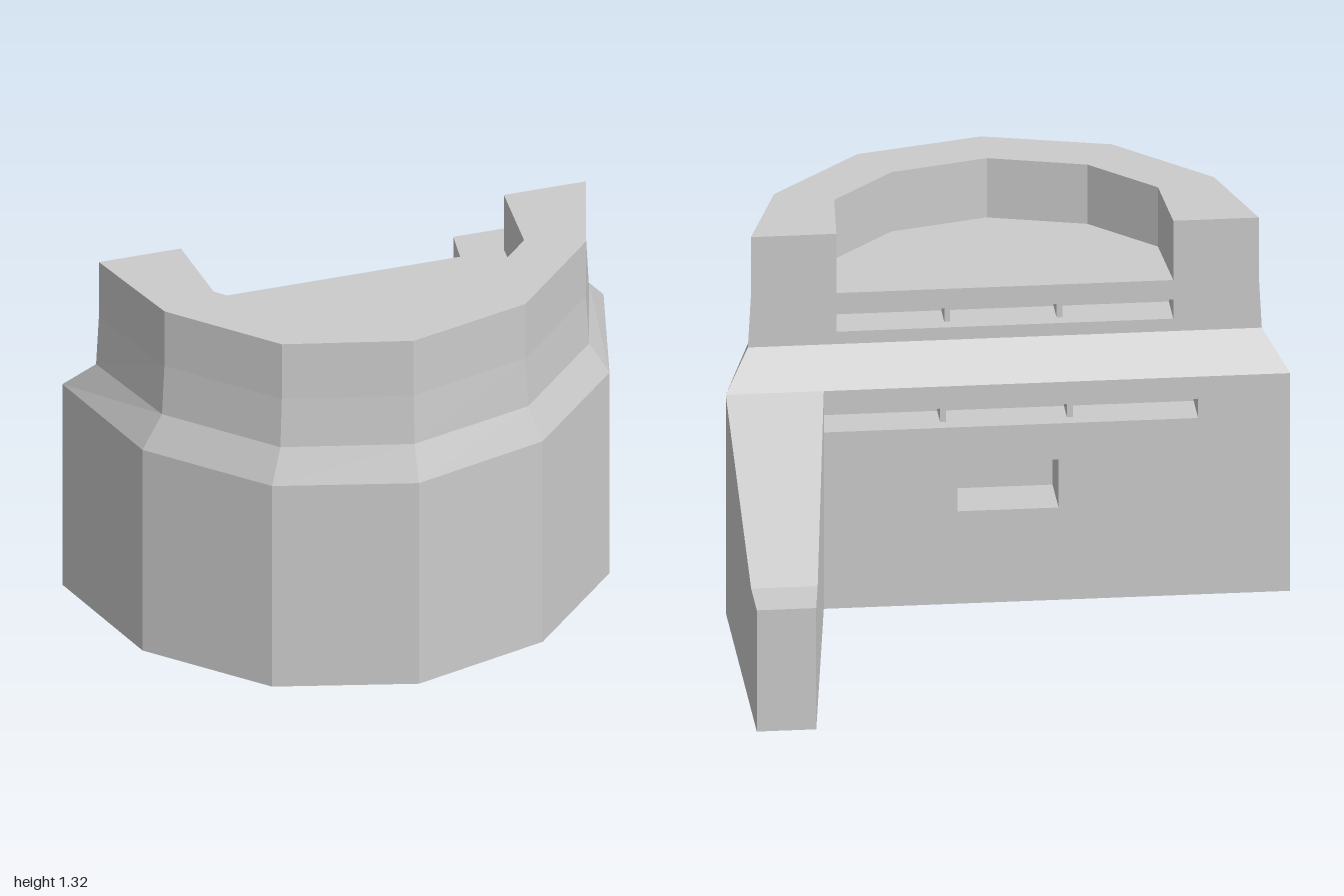
import * as THREE from 'three';

const material = new THREE.MeshStandardMaterial({ color: 0xcccccc, flatShading: true });

// Skin a list of equal-length rings; optionally close each ring and cap the last one.
function loft(rings, closed, cap) {
  const pos = [];
  const tri = (...points) => points.forEach((p) => pos.push(...p));
  for (let k = 0; k + 1 < rings.length; k++) {
    const lo = rings[k], hi = rings[k + 1], n = lo.length;
    for (let i = 0; i < (closed ? n : n - 1); i++) {
      const j = (i + 1) % n;
      tri(lo[i], lo[j], hi[j]);
      tri(lo[i], hi[j], hi[i]);
    }
  }
  const end = rings[rings.length - 1];
  if (cap) for (let i = 1; i + 1 < end.length; i++) tri(end[0], end[i], end[i + 1]);
  const g = new THREE.BufferGeometry();
  g.setAttribute('position', new THREE.Float32BufferAttribute(pos, 3));
  g.computeVertexNormals();
  return g;
}

const toShape = (pts) => new THREE.Shape(pts.map(([x, y]) => new THREE.Vector2(x, y)));

// Complete a left-to-right outline from its right half, which starts at the front point.
const mirror = (half) => [...half.slice(1).reverse().map(([x, z]) => [-x, z]), ...half];
const atHeight = (pts, y) => pts.map(([x, z]) => [x, y, z]);

export function createModel() {
  const group = new THREE.Group();
  const add = (name, geometry) => {
    const mesh = new THREE.Mesh(geometry, material);
    mesh.name = name;
    group.add(mesh);
    return mesh;
  };

  const base = mirror([[0, 1], [0.475, 0.87], [0.82, 0.52], [0.95, 0.04]]);
  const shoulder = mirror([[0, 0.95], [0.435, 0.835], [0.75, 0.515], [0.865, 0.145]]);
  const crown = mirror([[0, 0.94], [0.428, 0.828], [0.74, 0.51], [0.855, 0.145]]);
  const recess = mirror([[0, 0.75], [0.33, 0.66], [0.545, 0.44], [0.567, 0.145]]);
  const Y1 = 0.79, Y2 = 0.915, FLOOR = 1.1, TOP = 1.315;

  // Faceted curved walls
  add('lowerWall', loft([atHeight(base, 0), atHeight(base, Y1)]));
  add('slopedShoulder', loft([atHeight(base, Y1), atHeight(shoulder, Y2)], true));
  add('upperWall', loft([atHeight(shoulder, Y2), atHeight(crown, FLOOR), atHeight(crown, TOP)]));

  // Underside, parapet top and sunken roof deck
  const flat = (name, pts, y, up) => {
    const g = new THREE.ShapeGeometry(toShape(up ? pts.map(([x, z]) => [x, -z]) : pts));
    add(name, g.rotateX(up ? -Math.PI / 2 : Math.PI / 2).translate(0, y, 0));
  };
  const inner = [...recess].reverse();
  flat('underside', base, 0, false);
  flat('parapetTop', [...crown, ...inner], TOP, true);
  flat('roofDeck', recess, FLOOR, true);
  add('parapetInnerWall', loft([atHeight(inner, FLOOR), atHeight(inner, TOP)]));

  // Back walls with recessed openings; each opening is [half width, bottom, top, depth, posts]
  function backWall(name, outline, z, openings) {
    const shape = toShape(outline);
    openings.forEach(([w, y0, y1, depth, posts]) => {
      const rect = [[w, y0], [-w, y0], [-w, y1], [w, y1]];
      shape.holes.push(toShape(rect));
      const ring = (d) => rect.map(([x, y]) => [x, y, z + d]);
      add(posts ? 'slit' : 'window', loft([ring(0), ring(depth)], true, true));
      for (let i = 0; i < posts; i++) {
        const x = -w + (2 * w * (i + 1)) / (posts + 1);
        add('slitPost', new THREE.BoxGeometry(0.02, y1 - y0, 0.1)).position.set(x, (y0 + y1) / 2, z + 0.1);
      }
    });
    add(name, new THREE.ShapeGeometry(shape).rotateY(Math.PI).translate(0, 0, z));
  }
  backWall('lowerBackWall', [[-0.95, 0], [0.95, 0], [0.95, Y1], [-0.95, Y1]], 0.04,
    [[0.64, 0.64, 0.71, 0.15, 2], [0.17, 0.335, 0.51, 0.2, 0]]);
  const upper = [[0.865, Y2], [0.855, FLOOR], [0.855, TOP], [0.567, TOP], [0.567, FLOOR]];
  backWall('upperBackWall', [...upper, ...[...upper].reverse().map(([x, y]) => [-x, y])], 0.145,
    [[0.567, 0.96, 1.03, 0.15, 2]]);

  // Tapering wing wall on the left, sloping down to a level end
  const section = (z, x, h) => [[0.95, 0, z], [x, 0, z], [x, h, z], [0.95, h, z]];
  add('wingWall', loft([section(0.04, 0.62, Y1), section(-0.81, 0.726, 0.44), section(-1, 0.75, 0.44)], true, true));

  return group;
}
